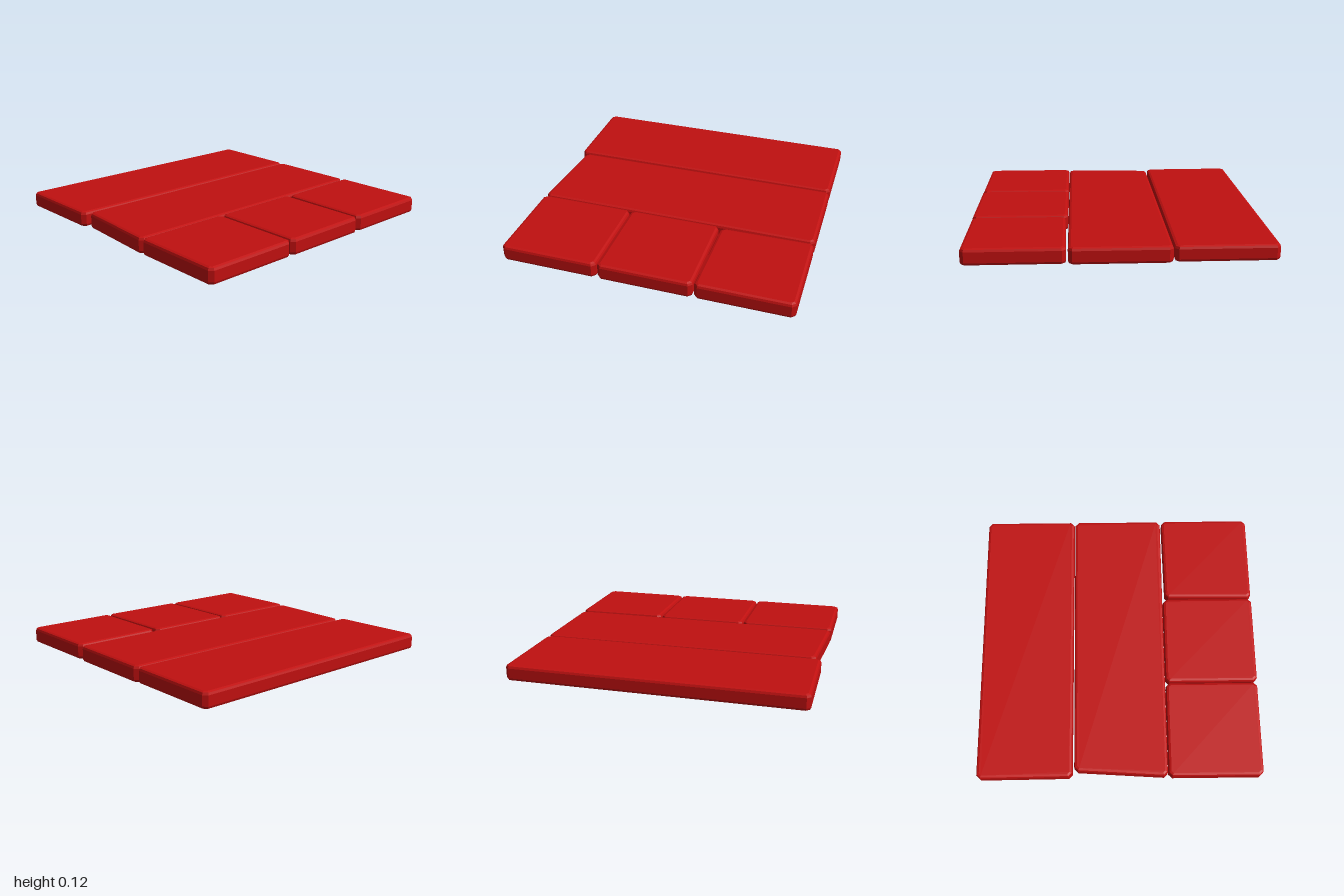
import * as THREE from 'three';

const BEVEL = 0.02;
const CHAMFER = 0.026;

// Four-cornered slab outline in plan (x, z) with its corners cut off
function slabOutline(corners) {
  const pts = corners.map(([x, z]) => new THREE.Vector2(x, z));
  const outline = [];
  pts.forEach((p, i) => {
    const towards = (q) => q.clone().sub(p).setLength(CHAMFER).add(p);
    outline.push(towards(pts[(i + 3) % 4]), towards(pts[(i + 1) % 4]));
  });
  return new THREE.Shape(outline);
}

// Worn stone slab with bevelled top and bottom edges
function makeSlab(name, corners, bottom, top, material) {
  const geometry = new THREE.ExtrudeGeometry(slabOutline(corners), {
    depth: top - bottom - 2 * BEVEL,
    bevelEnabled: true,
    bevelThickness: BEVEL,
    bevelSize: BEVEL,
    bevelOffset: -BEVEL,
    bevelSegments: 2,
  });
  geometry.rotateX(Math.PI / 2);
  geometry.translate(0, top - BEVEL, 0);
  const mesh = new THREE.Mesh(geometry, material);
  mesh.name = name;
  return mesh;
}

export function createModel() {
  const group = new THREE.Group();
  group.name = 'floorTile';
  const material = new THREE.MeshStandardMaterial({ color: 0xc01010 });

  // Corners run back left, back right, front right, front left as seen from above
  const slabs = [
    ['longOuterSlab', [[-1, -1], [-0.333, -1], [-0.333, 0.99], [-1, 0.995]], 0.006, 0.114],
    ['longMiddleSlab', [[-0.327, -1], [0.332, -1], [0.332, 0.99], [-0.32, 0.948]], 0, 0.113],
    ['backSquareSlab', [[0.342, -1], [0.998, -1], [0.998, -0.346], [0.352, -0.354]], 0.005, 0.117],
    ['middleSquareSlab', [[0.337, -0.338], [1, -0.338], [1, 0.31], [0.337, 0.31]], 0.004, 0.117],
    ['frontSquareSlab', [[0.337, 0.319], [0.998, 0.319], [0.998, 0.993], [0.337, 0.993]], 0.005, 0.117],
  ];
  for (const [name, corners, bottom, top] of slabs) {
    group.add(makeSlab(name, corners, bottom, top, material));
  }
  return group;
}
